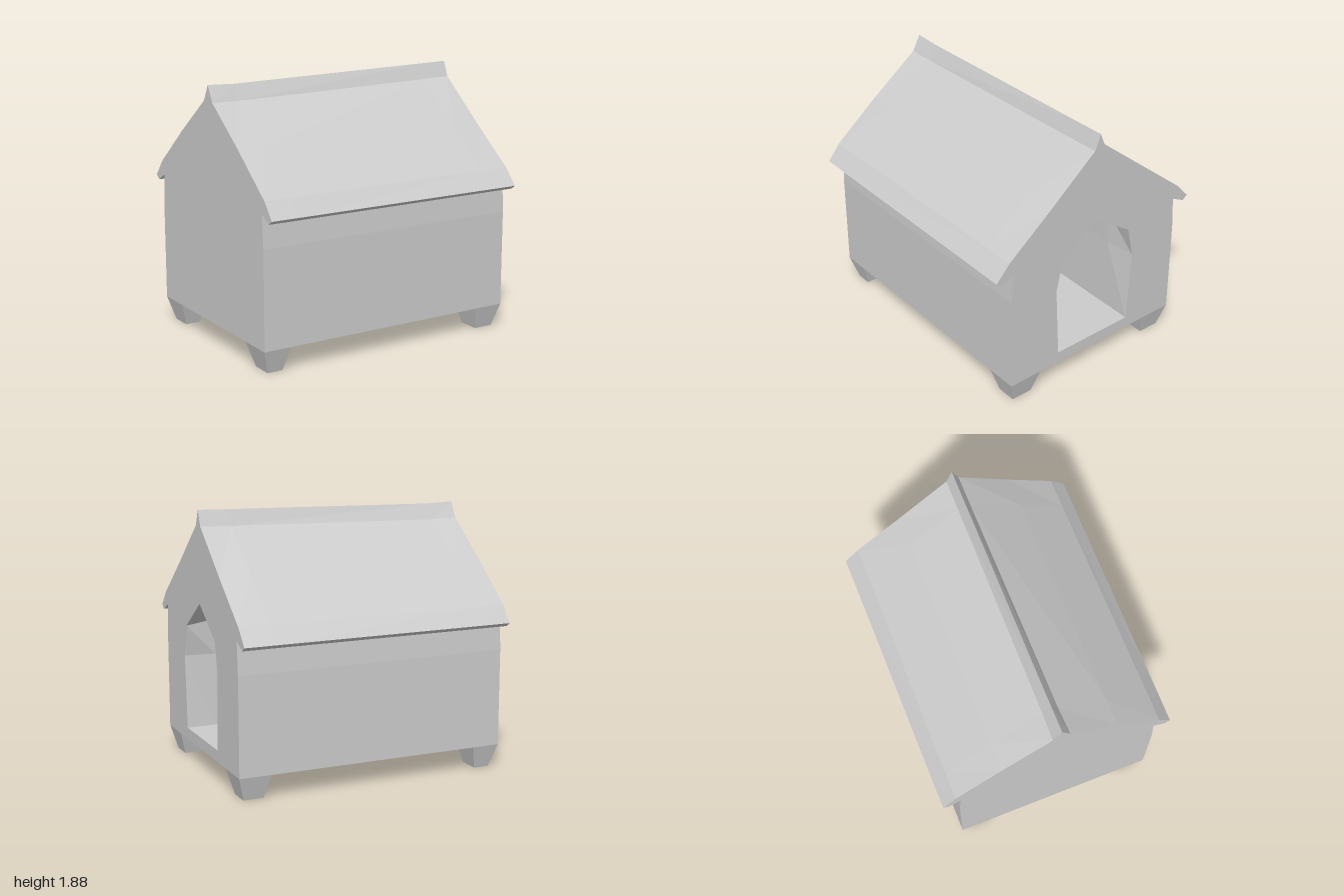
import * as THREE from 'three';

const material = new THREE.MeshStandardMaterial({ color: 0xcccccc, flatShading: true });

// Half profile [z, y] from the floor up to the ridge, mirrored into a full ring
function ring(half) {
  const other = half.filter(p => p[0] > 0).reverse().map(([z, y]) => [-z, y]);
  return [...half, ...other];
}

// Skin between matching rings placed along x; inward turns the faces inside
function loft(stations, inward = false) {
  const positions = [];
  const put = ([x, [z, y]]) => positions.push(x, y, z);
  for (let i = 0; i < stations.length - 1; i++) {
    const [s, t] = [stations[i], stations[i + 1]];
    const n = s.ring.length;
    for (let j = 0; j < n; j++) {
      const k = (j + 1) % n;
      const a = [s.x, s.ring[j]], b = [s.x, s.ring[k]];
      const c = [t.x, t.ring[k]], d = [t.x, t.ring[j]];
      (inward ? [a, c, d, a, b, c] : [a, d, c, a, c, b]).forEach(put);
    }
  }
  const geometry = new THREE.BufferGeometry();
  geometry.setAttribute('position', new THREE.Float32BufferAttribute(positions, 3));
  geometry.computeVertexNormals();
  return geometry;
}

// Flat wall across x, facing +x (dir 1) or -x (dir -1)
function wall(station, dir, hole) {
  const points = r => r.map(([z, y]) => new THREE.Vector2(-dir * z, y));
  const shape = new THREE.Shape(points(station.ring));
  if (hole) shape.holes.push(new THREE.Path(points(hole)));
  return new THREE.ShapeGeometry(shape).rotateY(dir * Math.PI / 2).translate(station.x, 0, 0);
}

// House outline: base, wall, eave lip, bowed roof slope, ridge crest
function house(x, eave, bow, crestZ, crestY, ridge) {
  return {
    x,
    ring: ring([
      [0.74, 0.17], [0.74, 0.87], [0.725, 1.105],
      [eave - 0.04, 1.055], [eave, 1.083], [0.76, 1.2],
      [0.42, bow], [crestZ, crestY], [0, ridge],
    ]),
  };
}

// Doorway and room outline
function room(x, knee, shoulder, shoulderY, peak) {
  return { x, ring: ring([[0.32, 0.255], [knee, 0.79], [shoulder, shoulderY], [0, peak]]) };
}

export function createModel() {
  const model = new THREE.Group();
  const add = (name, geometry) => {
    const mesh = new THREE.Mesh(geometry, material);
    mesh.name = name;
    model.add(mesh);
  };

  // Side walls, floor and roof in one skin
  const shell = [
    house(-1, 0.855, 1.475, 0.062, 1.742, 1.857),
    house(-0.8, 0.857, 1.48, 0.055, 1.738, 1.85),
    house(0.77, 0.864, 1.48, 0.046, 1.768, 1.88),
    house(0.995, 0.866, 1.467, 0.045, 1.775, 1.885),
  ];
  add('wallsAndRoof', loft(shell));

  // Hollow interior behind the doorway
  const hollow = [
    room(-0.77, 0.325, 0.32, 1.05, 1.28),
    room(0.77, 0.325, 0.32, 1.05, 1.28),
    room(0.995, 0.35, 0.3, 1.02, 1.23),
  ];
  add('interior', loft(hollow, true));
  add('interiorBack', wall(hollow[0], 1));

  // Gable ends
  add('doorGable', wall(shell[3], 1, hollow[2].ring));
  add('backGable', wall(shell[0], -1));

  // Tapered feet at the four corners
  const feet = [
    { name: 'doorFoot', top: [0.765, 0.995], bottom: [0.805, 0.95] },
    { name: 'backFoot', top: [-1, -0.795], bottom: [-0.95, -0.835] },
  ];
  for (const { name, top, bottom } of feet) {
    for (const side of [1, -1]) {
      const geometry = new THREE.BoxGeometry(2, 0.17, 2);
      const p = geometry.attributes.position;
      for (let i = 0; i < p.count; i++) {
        const up = p.getY(i) > 0;
        const outer = p.getZ(i) * side > 0;
        const x = (up ? top : bottom)[p.getX(i) > 0 ? 1 : 0];
        const z = (up ? [0.48, 0.74] : [0.53, 0.69])[outer ? 1 : 0];
        p.setXYZ(i, x, up ? 0.17 : 0, side * z);
      }
      geometry.computeVertexNormals();
      add(name + (side > 0 ? 'Front' : 'Rear'), geometry);
    }
  }
  return model;
}
